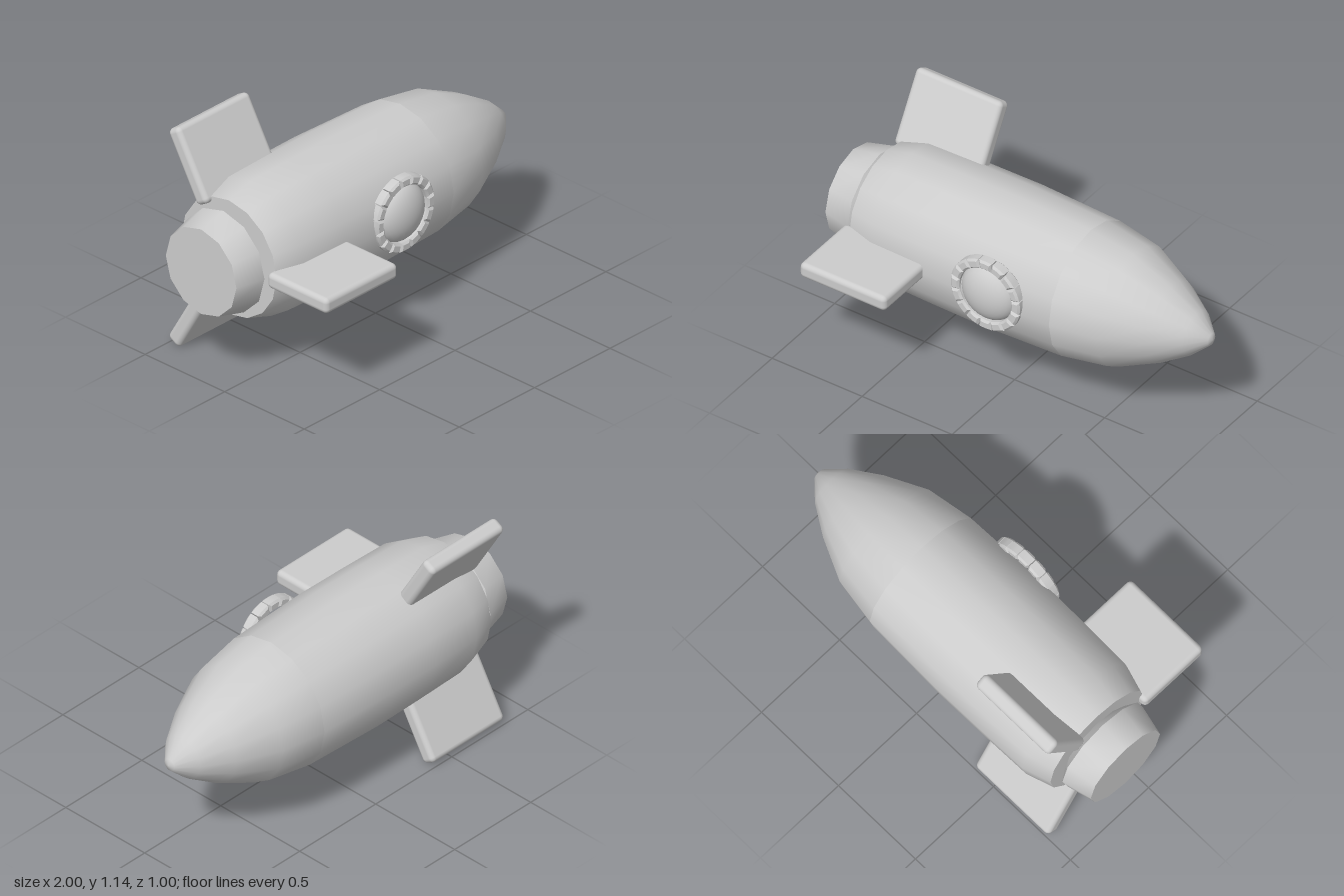
import * as THREE from 'three';
import { toCreasedNormals } from 'three/addons/utils/BufferGeometryUtils.js';
import { RoundedBoxGeometry } from 'three/addons/geometries/RoundedBoxGeometry.js';

const AXIS_Y = 0.576;
const AXIS_Z = -0.148;

export function createModel() {
  const rocket = new THREE.Group();
  rocket.name = 'rocket';
  const grey = new THREE.MeshStandardMaterial({ color: 0xcccccc });
  grey.name = 'light grey';

  const add = (parent, name, geometry) => {
    const mesh = new THREE.Mesh(geometry, grey);
    mesh.name = name;
    parent.add(mesh);
    return mesh;
  };

  // Turned part along x from [x, radius] pairs
  const turned = (profile, sides) => {
    const points = profile.map(([x, r]) => new THREE.Vector2(r, x));
    const geometry = new THREE.LatheGeometry(points, sides).rotateZ(-Math.PI / 2);
    return toCreasedNormals(geometry, 0.62);
  };

  // Everything centred on the long axis
  const hull = new THREE.Group();
  hull.name = 'hull';
  hull.position.set(0, AXIS_Y, AXIS_Z);
  rocket.add(hull);

  add(hull, 'body', turned([
    [-0.815, 0], [-0.815, 0.298], [-0.675, 0.341], [-0.4, 0.347], [-0.12, 0.35], [0.32, 0.336],
  ], 16));
  add(hull, 'noseCone', turned([
    [0.32, 0.336], [0.555, 0.298], [0.76, 0.202], [0.905, 0.111], [0.99, 0.031], [1, 0],
  ], 16));
  add(hull, 'nozzle', turned([
    [-1, 0], [-1, 0.222], [-0.852, 0.258], [-0.812, 0.2],
  ], 12));

  // Three fins spaced evenly around the axis
  for (let i = 0; i < 3; i++) {
    const pivot = new THREE.Group();
    pivot.name = 'finPivot' + (i + 1);
    pivot.rotation.x = (i * Math.PI * 2) / 3;
    hull.add(pivot);
    add(pivot, 'fin', new RoundedBoxGeometry(0.478, 0.08, 0.378, 3, 0.025))
      .position.set(-0.614, 0, 0.459);
  }

  // Round window: a ring of bevelled blocks around a shallow dome
  const porthole = new THREE.Group();
  porthole.name = 'porthole';
  porthole.position.set(-0.02, 0.612, 0.155);
  rocket.add(porthole);

  const blocks = 16;
  const bevel = 0.01;
  const step = (Math.PI * 2) / blocks;
  const half = step / 2 - 0.064;
  const sector = new THREE.Shape();
  sector.absarc(0, 0, 0.182, -half, half, false);
  sector.absarc(0, 0, 0.154, half, -half, true);
  sector.closePath();
  const block = toCreasedNormals(new THREE.ExtrudeGeometry(sector, {
    depth: 0.04, bevelEnabled: true, bevelThickness: bevel, bevelSize: bevel,
    bevelSegments: 1, curveSegments: 2,
  }).translate(0, 0, bevel), 0.5);
  for (let i = 0; i < blocks; i++) {
    add(porthole, 'ringBlock', block).rotation.z = i * step;
  }

  const dome = new THREE.SphereGeometry(0.148, 24, 8, 0, Math.PI * 2, 0, Math.PI / 2)
    .rotateX(Math.PI / 2).scale(1, 1, 0.56);
  add(porthole, 'glassDome', dome).position.z = 0.012;

  return rocket;
}
